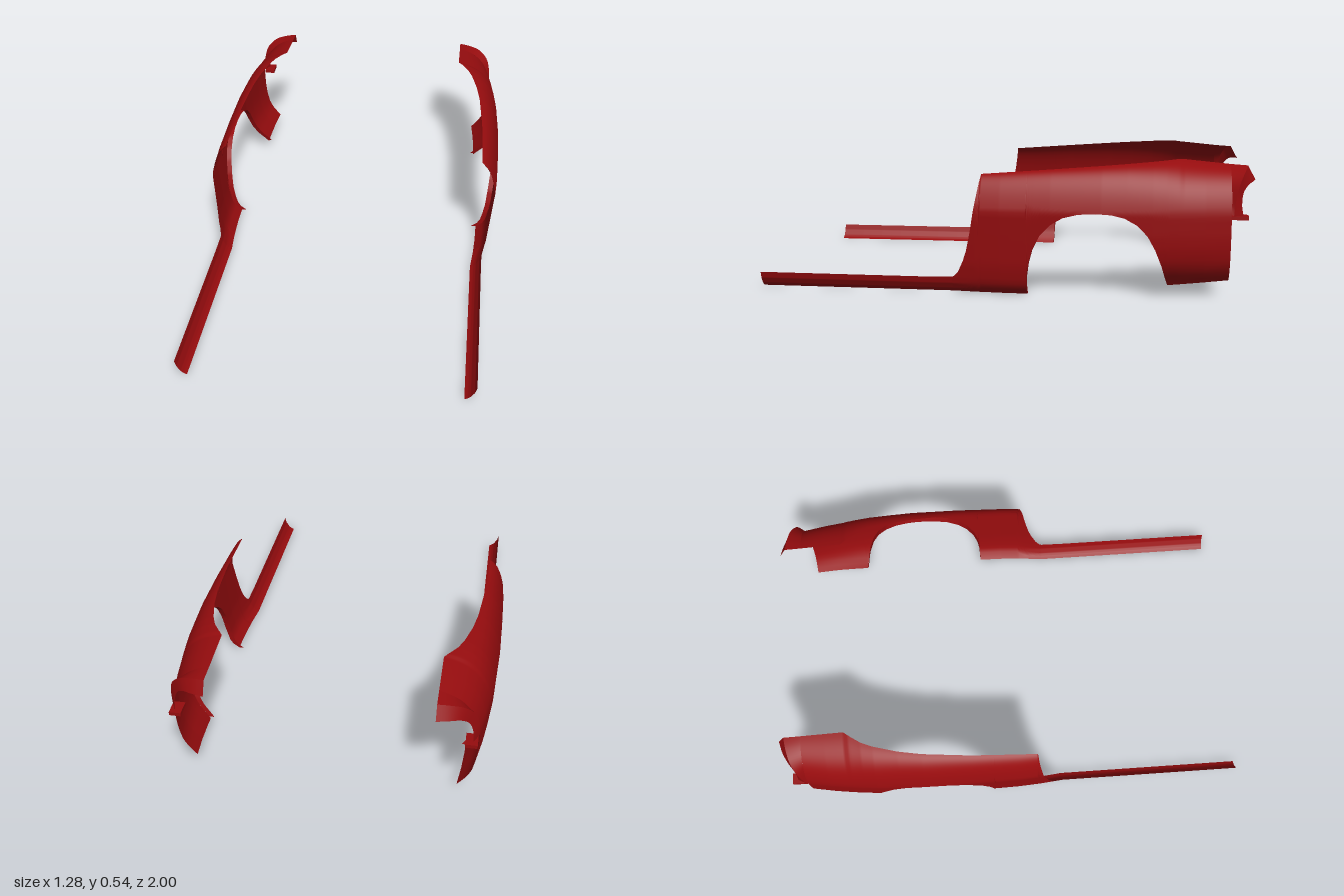
import * as THREE from 'three';

const BELT = 0.34;
const material = new THREE.MeshStandardMaterial({ color: 0x960c0e, side: THREE.DoubleSide, roughness: 0.6 });

// Piecewise linear lookup in a short list of [position, value] pairs
function lookup(table, p) {
  if (p <= table[0][0]) return table[0][1];
  for (let i = 1; i < table.length; i++) {
    const [a, va] = table[i - 1], [b, vb] = table[i];
    if (p <= b) return va + (vb - va) * (p - a) / (b - a);
  }
  return table[table.length - 1][1];
}

// Plan and side outlines, all along z
const beltWidth = [[-0.9, 0.59], [-0.8, 0.608], [-0.7, 0.621], [-0.6, 0.631], [-0.4, 0.64], [-0.2, 0.64],
  [0, 0.636], [0.1, 0.63], [0.2, 0.62], [1, 0.62]];
const topInner = [[-0.72, 0.43], [-0.69, 0.452], [-0.65, 0.478], [-0.6, 0.498], [-0.5, 0.524], [-0.4, 0.54],
  [-0.2, 0.556], [0, 0.562], [0.08, 0.564]];
const topHeight = [[-0.9, 0.521], [-0.7, 0.54], [0.08, 0.482]];
const frontEdge = [[0.08, 0.482], [0.09, 0.42], [0.105, 0.335], [0.12, 0.25], [0.135, 0.18], [0.15, 0.135],
  [0.17, 0.092], [0.19, 0.07], [0.21, 0.065], [1, 0.065]];
const lowerEdge = [[-0.9, 0.068], [-0.66, 0.045], [-0.65, 0.08], [-0.635, 0.135], [-0.61, 0.2], [-0.58, 0.255],
  [-0.54, 0.297], [-0.49, 0.325], [-0.44, 0.337], [-0.38, 0.341], [-0.31, 0.337], [-0.25, 0.322], [-0.2, 0.292],
  [-0.16, 0.25], [-0.13, 0.19], [-0.115, 0.135], [-0.107, 0.08], [-0.105, 0]];

// How far the side tucks in below the belt, by height
const tuckFront = [[0, 0.076], [0.006, 0.063], [0.016, 0.052], [0.04, 0.037], [0.065, 0.03], [0.12, 0.019],
  [0.2, 0.012], [0.34, 0]];
const tuckRear = [[0.045, 0.09], [0.068, 0.073], [0.1, 0.045], [0.125, 0.03], [0.15, 0.019], [0.2, 0.008],
  [0.25, 0.003], [0.34, 0]];

// Point on the body section at z: s 0..1 runs up to the belt, 1..2 curls over to the top edge
function bodyPoint(z, s) {
  const xm = lookup(beltWidth, z);
  if (s <= 1) {
    const y = s * BELT;
    return new THREE.Vector3(xm - lookup(z < -0.38 ? tuckRear : tuckFront, y), y, z);
  }
  const t = s - 1, u = 1 - t, xi = lookup(topInner, z), yt = lookup(topHeight, z);
  const yc = BELT + 0.87 * (yt - BELT);
  return new THREE.Vector3(
    u * u * xm + 2 * u * t * (xm - 0.025) + t * t * xi,
    u * u * BELT + 2 * u * t * yc + t * t * yt, z);
}

function sectionAtHeight(z, y) {
  let lo = 0, hi = 2;
  for (let i = 0; i < 30; i++) {
    const mid = (lo + hi) / 2;
    if (bodyPoint(z, mid).y < y) lo = mid; else hi = mid;
  }
  return hi;
}

// Smooth surface through rows of points of equal length
function loft(rows) {
  const n = rows[0].length, index = [];
  for (let i = 0; i < rows.length - 1; i++) {
    for (let j = 0; j < n - 1; j++) {
      const a = i * n + j, b = a + n;
      index.push(a, a + 1, b, b, a + 1, b + 1);
    }
  }
  const geometry = new THREE.BufferGeometry().setFromPoints(rows.flat());
  geometry.setIndex(index);
  geometry.computeVertexNormals();
  return geometry;
}

function panelGeometry() {
  const stations = [-0.107, -0.105];
  for (let i = 0; i <= 220; i++) stations.push(-0.9 + i * 0.005);
  for (let i = 1; i <= 8; i++) stations.push(0.2 + i * 0.1);
  stations.sort((a, b) => a - b);
  return loft(stations.map(z => {
    const s0 = sectionAtHeight(z, lookup(lowerEdge, z));
    const s1 = z <= 0.0801 ? 2 : sectionAtHeight(z, lookup(frontEdge, z));
    return Array.from({ length: 31 }, (_, j) => bodyPoint(z, s0 + (s1 - s0) * j / 30));
  }));
}

// Folded lip along the wheel opening
function archLipGeometry() {
  const rows = [];
  for (let i = 1; i < lowerEdge.length; i++) {
    const steps = i === 1 ? 0 : 4;
    for (let k = 1; k <= steps; k++) {
      const [za, ya] = lowerEdge[i - 1], [zb, yb] = lowerEdge[i];
      const z = za + (zb - za) * k / steps, y = ya + (yb - ya) * k / steps;
      const outer = bodyPoint(z, y / BELT);
      rows.push([outer, outer.clone().add(new THREE.Vector3(-0.022, 0, 0))]);
    }
  }
  return loft(rows);
}

const curve = pts => new THREE.CatmullRomCurve3(pts.map(p => new THREE.Vector3(...p)));

// Rear corner: crease and inner edge around the lamp opening
const creaseCurve = curve([[0.588, 0.335, -0.908], [0.586, 0.4, -0.915], [0.57, 0.457, -0.93],
  [0.53, 0.495, -0.949], [0.48, 0.51, -0.962], [0.43, 0.516, -0.97]]);
const lampCurve = curve([[0.568, 0.335, -0.945], [0.566, 0.375, -0.939], [0.55, 0.422, -0.945],
  [0.52, 0.448, -0.965], [0.48, 0.457, -0.985], [0.43, 0.46, -1]]);

function side(name) {
  const group = new THREE.Group();
  group.name = name;
  const add = (part, geometry) => {
    const mesh = new THREE.Mesh(geometry, material);
    mesh.name = part;
    group.add(mesh);
    return mesh;
  };
  const ts = Array.from({ length: 25 }, (_, i) => i / 24);
  const bodyEnd = ts.map(t => bodyPoint(-0.9, 1 + t));
  const crease = ts.map(t => creaseCurve.getPoint(t));
  const lampEdge = ts.map(t => lampCurve.getPoint(t));

  add('quarterPanelAndSill', panelGeometry());
  add('wheelArchLip', archLipGeometry());
  add('rearCorner', loft([bodyEnd, crease]));
  add('lampOpeningRim', loft([crease, lampEdge]));
  add('lampShelf', new THREE.BoxGeometry(0.046, 0.015, 0.065)).position.set(0.563, 0.3275, -0.9325);
  return group;
}

export function createModel() {
  const model = new THREE.Group();
  model.name = 'rearQuarterPanels';
  const left = side('leftPanel');
  const right = side('rightPanel');
  right.scale.x = -1;
  model.add(left, right);
  return model;
}
